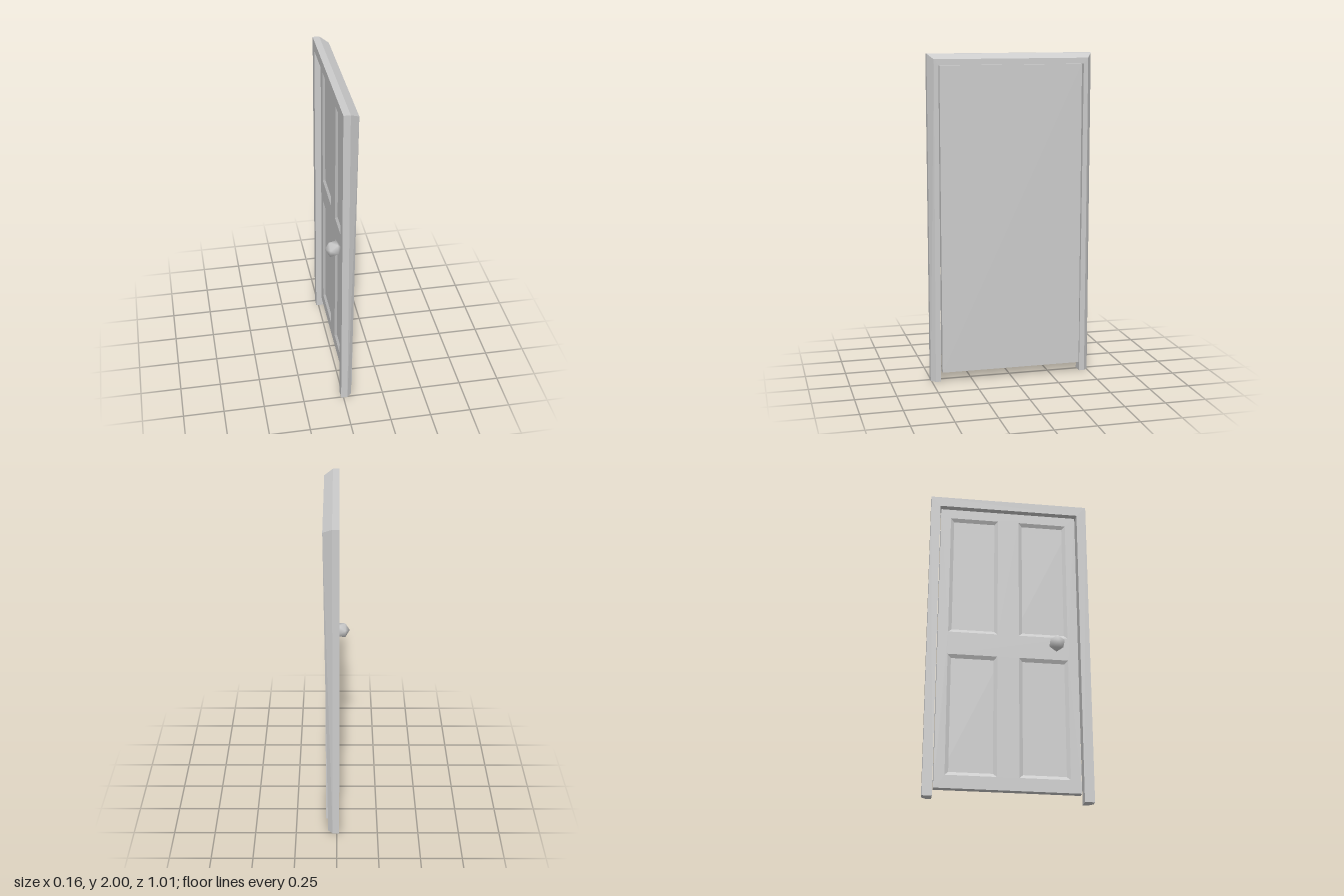
import * as THREE from 'three';
import { mergeVertices } from 'three/addons/utils/BufferGeometryUtils.js';
import { ConvexGeometry } from 'three/addons/geometries/ConvexGeometry.js';

const material = new THREE.MeshStandardMaterial({ color: 0xcccccc });

function part(name, geometry, parent) {
  const mesh = new THREE.Mesh(geometry, material);
  mesh.name = name;
  parent.add(mesh);
  return mesh;
}

// Flat-sided skin through rings of [x, y, z] points; flip(s) swaps the quad diagonal
function loft(rings, caps = false, flip = () => false) {
  const out = [];
  const tri = (...points) => points.forEach((p) => out.push(...p));
  for (let s = 0; s < rings.length - 1; s++) {
    const a = rings[s], b = rings[s + 1];
    a.forEach((p, i) => {
      const j = (i + 1) % a.length;
      if (flip(s)) { tri(p, a[j], b[i]); tri(a[j], b[j], b[i]); }
      else { tri(p, a[j], b[j]); tri(p, b[j], b[i]); }
    });
  }
  if (caps) {
    const first = rings[0], last = rings[rings.length - 1];
    for (let i = 1; i < first.length - 1; i++) {
      tri(first[0], first[i + 1], first[i]);
      tri(last[0], last[i], last[i + 1]);
    }
  }
  const g = new THREE.BufferGeometry();
  g.setAttribute('position', new THREE.Float32BufferAttribute(out, 3));
  g.computeVertexNormals();
  return g;
}

export function createModel() {
  const model = new THREE.Group();
  model.name = 'door';

  // Door frame: one mitred bevelled section, swept up, across and down
  const foot = [
    [-0.015, 0, 0.505], [0.025, 0, 0.505], [0.053, 0, 0.478],
    [0.053, 0, 0.445], [-0.015, 0, 0.445],
  ];
  const corner = [
    [-0.015, 2, 0.505], [0.025, 2, 0.505], [0.078, 1.97, 0.472],
    [0.078, 1.935, 0.445], [-0.015, 1.935, 0.445],
  ];
  const mirror = (ring) => ring.map(([x, y, z]) => [x, y, -z]);
  part('doorFrame', loft([foot, corner, mirror(corner), mirror(foot)], true, (s) => s === 2), model);

  // Door leaf: plain slab behind, panelled face in front
  const leaf = new THREE.Group();
  leaf.name = 'doorLeaf';
  model.add(leaf);
  const halfWidth = 0.437, bottom = 0.06, top = 1.933;
  const faceX = 0.022, recess = 0.012, backX = 0.066, inset = 0.022;
  const slabX = faceX + recess;

  const slab = part('backSlab', new THREE.BoxGeometry(backX - slabX, top - bottom, halfWidth * 2), leaf);
  slab.position.set((slabX + backX) / 2, (top + bottom) / 2, 0);

  const rect = (z0, z1, y0, y1) => [[z0, y0], [z1, y0], [z1, y1], [z0, y1]];
  const toPoints = (list) => list.map(([z, y]) => new THREE.Vector2(z, y));
  const outline = new THREE.Shape(toPoints(rect(-halfWidth, halfWidth, bottom, top)));

  for (const [y0, y1] of [[0.14, 0.91], [1.06, 1.87]]) {
    for (const [z0, z1] of [[-0.373, -0.067], [0.067, 0.373]]) {
      outline.holes.push(new THREE.Path(toPoints(rect(z0, z1, y0, y1))));
      // Sloping moulding around each recessed panel
      const outer = rect(z0, z1, y0, y1).map(([z, y]) => [faceX, y, z]);
      const inner = rect(z0 + inset, z1 - inset, y0 + inset, y1 - inset).map(([z, y]) => [slabX, y, z]);
      part('panelMoulding', loft([outer, inner]), leaf);
    }
  }
  const face = new THREE.ExtrudeGeometry(outline, { depth: recess, bevelEnabled: false });
  face.rotateY(-Math.PI / 2);
  part('stilesAndRails', face, leaf).position.x = slabX;

  // Knob: smooth-shaded twelve-point ball with a point facing outwards
  const r = 0.052, ringX = r * 0.447, ringR = r * 0.894;
  const points = [new THREE.Vector3(-r, 0, 0), new THREE.Vector3(r, 0, 0)];
  for (let i = 0; i < 5; i++) {
    const a = (i * Math.PI * 2) / 5;
    for (const side of [1, -1]) {
      points.push(new THREE.Vector3(-side * ringX, side * ringR * Math.cos(a), ringR * Math.sin(a)));
    }
  }
  let ball = new ConvexGeometry(points);
  ball.deleteAttribute('normal');
  ball = mergeVertices(ball);
  ball.computeVertexNormals();
  part('knob', ball, model).position.set(-0.03, 1, 0.296);

  return model;
}
